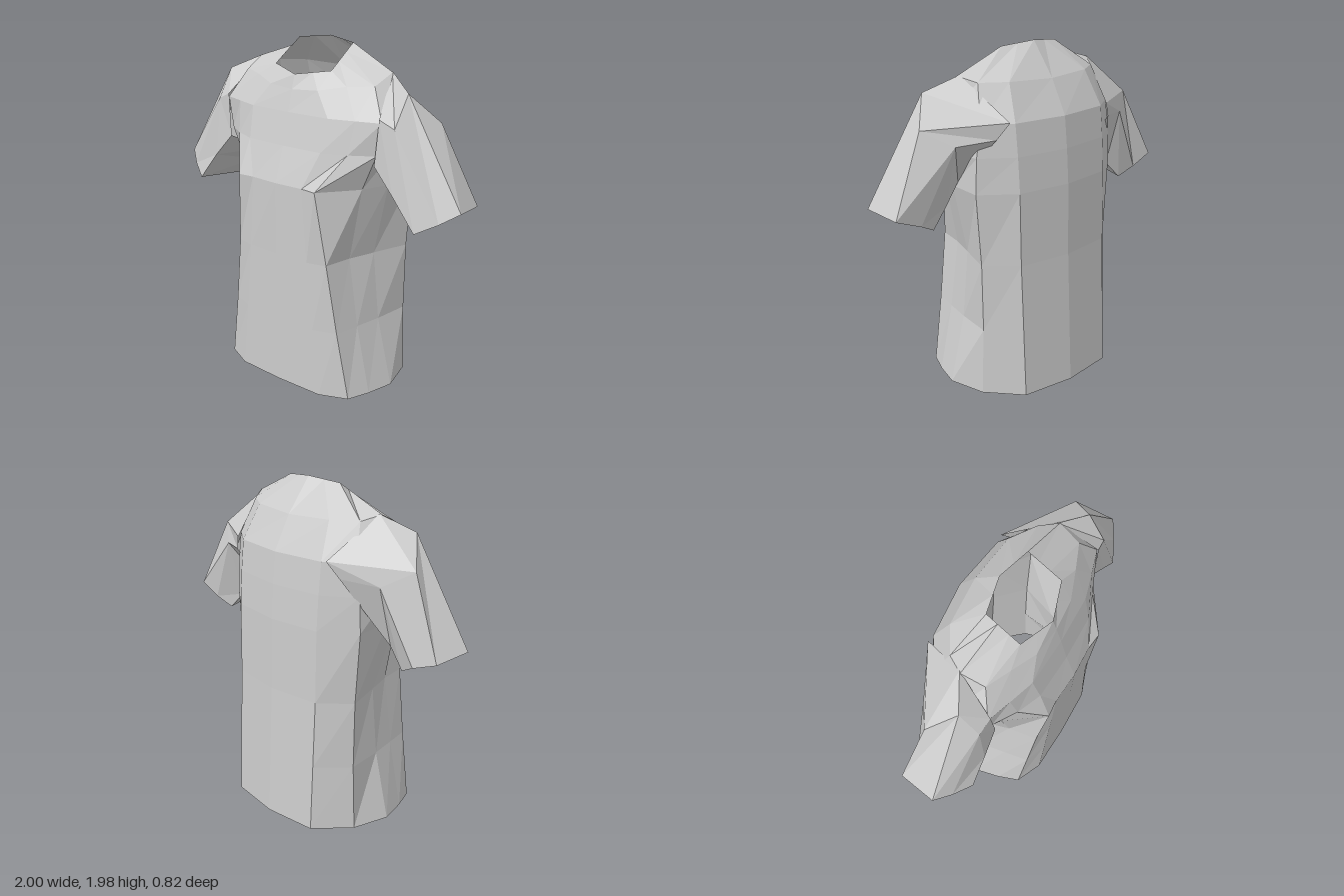
import * as THREE from 'three';

const material = new THREE.MeshStandardMaterial({ color: 0xcccccc, flatShading: true, side: THREE.DoubleSide });

// Skin closed rings of [x, y, z] points into an open tube
function loft(rings, name) {
  const n = rings[0].length;
  const index = [];
  for (let r = 0; r < rings.length - 1; r++) {
    for (let i = 0; i < n; i++) {
      const a = r * n + i, b = r * n + (i + 1) % n;
      index.push(a, b, b + n, a, b + n, a + n);
    }
  }
  const geometry = new THREE.BufferGeometry();
  geometry.setAttribute('position', new THREE.Float32BufferAttribute(rings.flat(2), 3));
  geometry.setIndex(index);
  geometry.computeVertexNormals();
  const mesh = new THREE.Mesh(geometry, material);
  mesh.name = name;
  return mesh;
}

const mirrorPoint = ([x, y, z]) => [-x, y, z];
const lerp = (a, b, t) => a.map((v, i) => v + (b[i] - v) * t);

// Complete a half ring that runs from front centre round the left side to back centre
const mirrorRing = (half) => [...half, ...half.slice(1, -1).reverse().map(mirrorPoint)];

// Half ring of the trunk: flat front panel, pinched side, flatter back
const trunkRing = ([y, frontZ, panelX, panelZ, foldX, sideX, rearX, backZ]) => [
  [0, y, frontZ], [0.65 * panelX, y, frontZ - 0.01], [panelX, y, panelZ], [foldX, y, 0.2],
  [sideX, y, 0.04], [rearX, y, -0.18], [0.32, y, backZ + 0.04], [0, y, backZ],
];

// Half ring of the six-sided neck opening, high at the back
function collarRing() {
  const front = [0, 1.8, 0.24], sideFront = [0.2, 1.83, 0.17];
  const sideBack = [0.195, 1.96, -0.025], back = [0, 1.98, -0.07];
  return [
    front, lerp(front, sideFront, 0.5), sideFront, lerp(sideFront, sideBack, 0.33),
    lerp(sideFront, sideBack, 0.67), sideBack, lerp(sideBack, back, 0.5), back,
  ];
}

export function createModel() {
  const shirt = new THREE.Group();
  shirt.name = 'shirt';

  // Body: trunk from hem to armholes, then shoulders and collar
  const trunk = [
    [0, 0.41, 0.46, 0.33, 0.51, 0.55, 0.49, -0.41],
    [0.4, 0.41, 0.39, 0.35, 0.42, 0.45, 0.475, -0.39],
    [0.8, 0.41, 0.33, 0.37, 0.36, 0.41, 0.48, -0.37],
    [1.22, 0.41, 0.28, 0.41, 0.44, 0.5, 0.51, -0.36],
    [1.42, 0.345, 0.4, 0.28, 0.53, 0.53, 0.5, -0.345],
    [1.6, 0.3, 0.42, 0.245, 0.56, 0.56, 0.47, -0.325],
  ];
  const shoulders = [
    [0, 1.72, 0.265], [0.17, 1.73, 0.25], [0.32, 1.76, 0.19], [0.46, 1.77, 0.13],
    [0.48, 1.83, 0], [0.42, 1.8, -0.1], [0.28, 1.8, -0.19], [0, 1.79, -0.22],
  ];
  shirt.add(loft([...trunk.map(trunkRing), shoulders, collarRing()].map(mirrorRing), 'body'));

  // Sleeve: armhole, upper arm, cuff; each ring runs top, front, underside, back
  const sleeve = [
    [[0.47, 1.835, -0.01], [0.55, 1.62, 0.21], [0.53, 1.37, 0.22],
      [0.5, 1.25, -0.01], [0.42, 1.52, -0.25], [0.36, 1.61, -0.29]],
    [[0.645, 1.75, 0.09], [0.64, 1.58, 0.2], [0.66, 1.23, 0.23],
      [0.62, 1.15, -0.06], [0.62, 1.5, -0.16], [0.765, 1.59, -0.05]],
    [[1, 1.18, 0.11], [0.91, 1.12, 0.175], [0.8, 1.06, 0.235],
      [0.72, 1.045, -0.08], [0.82, 1.1, -0.115], [0.97, 1.16, -0.11]],
  ];
  shirt.add(loft(sleeve, 'leftSleeve'));
  shirt.add(loft(sleeve.map((ring) => ring.map(mirrorPoint).reverse()), 'rightSleeve'));

  return shirt;
}
